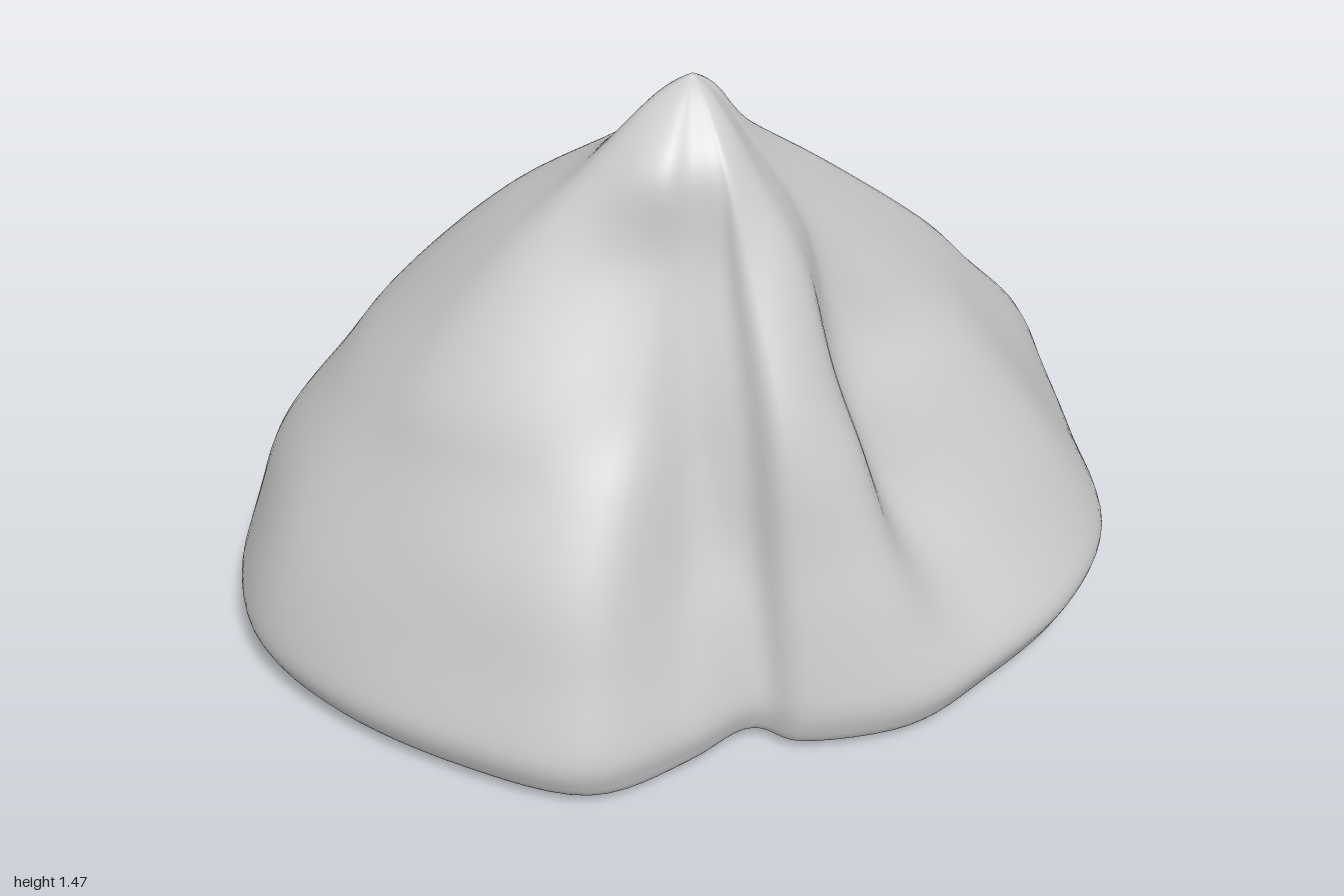
import * as THREE from 'three';
import { mergeVertices } from 'three/addons/utils/BufferGeometryUtils.js';

const PEAK = { x: 0.05, y: 1.475, z: 0.185 };

// Widest outline near the ground: x, z from the front notch round by +x
const OUTLINE = [
  [0.24, 0.635], [0.36, 0.655], [0.6, 0.58], [0.76, 0.41], [0.92, 0.18], [1.0, -0.1],
  [0.94, -0.4], [0.87, -0.62], [0.7, -0.8], [0.4, -0.9], [0.16, -0.82], [-0.04, -0.67],
  [-0.21, -0.53], [-0.5, -0.37], [-0.72, -0.29], [-0.92, -0.1], [-1.0, 0.15],
  [-0.93, 0.46], [-0.72, 0.67], [-0.42, 0.82], [-0.12, 0.89], [0.1, 0.75],
];

// How far each outline point still lies from the peak axis, at rising heights
const AT_050 = [.82, .87, .81, .64, .70, .80, .82, .86, .84, .82, .80, .80, .82, .86, .87, .88, .885, .88, .86, .85, .81, .72];
const AT_068 = [.75, .81, .71, .53, .55, .66, .70, .73, .66, .59, .60, .62, .68, .76, .77, .78, .775, .77, .77, .73, .67, .61];
const AT_085 = [.65, .71, .59, .44, .39, .49, .57, .60, .54, .48, .46, .47, .52, .65, .66, .67, .66, .65, .68, .62, .51, .52];
const AT_112 = [.44, .47, .43, .35, .28, .28, .32, .33, .29, .25, .24, .27, .32, .38, .40, .41, .41, .42, .45, .38, .32, .36];
const AT_132 = [.35, .32, .24, .18, .14, .13, .13, .12, .12, .12, .12, .13, .15, .15, .14, .14, .15, .19, .25, .27, .27, .29];

const all = (f) => OUTLINE.map(() => f);
const scale = (row, k) => row.map((f) => f * k);

// Key contours of the outside, from the tip down to the rim
const OUTSIDE = [
  [PEAK.y, all(0)],
  [1.43, scale(AT_132, 0.42)],
  [1.32, AT_132],
  [1.12, AT_112],
  [0.85, AT_085],
  [0.68, AT_068],
  [0.5, AT_050],
  [0.32, AT_050.map((f) => 0.51 + f / 2)],
  [0.15, all(1)],
  [0.06, all(0.98)],
  [0.02, all(0.935)],
];
// The hollow inside follows the same contours, slightly smaller
const INSIDE = OUTSIDE.slice(0, 9).reverse().map(([y, row]) => [y * 0.97, scale(row, 0.925)]);
const KEYS = [...OUTSIDE, [0.035, all(0.9)], ...INSIDE];

function catmull(a, b, c, d, t) {
  return 0.5 * (2 * b + (c - a) * t + (2 * a - 5 * b + 4 * c - d) * t * t
    + (3 * b - a - 3 * c + d) * t * t * t);
}

// Smooth sampling of a closed list and of an open list
function sampleLoop(get, n, u) {
  const i = Math.floor(u);
  const at = (k) => get((i + k + n) % n);
  return catmull(at(-1), at(0), at(1), at(2), u - i);
}
function sampleOpen(get, n, v) {
  const i = Math.min(Math.floor(v), n - 2);
  const at = (k) => get(Math.max(0, Math.min(n - 1, i + k)));
  return catmull(at(-1), at(0), at(1), at(2), v - i);
}

function rockGeometry() {
  const n = OUTLINE.length;
  const columns = n * 6;
  const perKey = 6;
  const rows = (KEYS.length - 1) * perKey;
  const positions = [];
  const indices = [];

  for (let r = 0; r <= rows; r++) {
    const v = r / perKey;
    const y = sampleOpen((k) => KEYS[k][0], KEYS.length, v);
    for (let c = 0; c < columns; c++) {
      const u = (c / columns) * n;
      const f = Math.max(0, sampleOpen((k) => sampleLoop((j) => KEYS[k][1][j], n, u), KEYS.length, v));
      const dx = sampleLoop((j) => OUTLINE[j][0], n, u) - PEAK.x;
      const dz = sampleLoop((j) => OUTLINE[j][1], n, u) - PEAK.z;
      // Gentle lumps on the middle of the slopes
      const mask = Math.max(0, Math.min(1, (y - 0.15) * 4)) * f;
      const lump = 1 + 0.008 * mask * (Math.sin(7 * dx + 5 * y + 1) + Math.sin(9 * dz - 8 * y));
      const x = PEAK.x + dx * f * lump;
      const z = PEAK.z + dz * f * lump;
      // The rim lifts at both sides, slightly at the front, and in the notch
      const low = Math.max(0, 1 - y / 0.2);
      const notch = Math.exp(-((x - 0.18) ** 2 + (z - 0.62) ** 2) / 0.012);
      positions.push(x, y + low * (0.03 * x * x + 0.012 * z + 0.025 * notch), z);
    }
  }

  for (let r = 0; r < rows; r++) {
    for (let c = 0; c < columns; c++) {
      const next = (c + 1) % columns;
      const a = r * columns + c, b = r * columns + next;
      const d = a + columns, e = b + columns;
      indices.push(d, e, a, e, b, a);
    }
  }

  const geometry = new THREE.BufferGeometry();
  geometry.setAttribute('position', new THREE.Float32BufferAttribute(positions, 3));
  geometry.setIndex(indices);
  const merged = mergeVertices(geometry, 1e-5);
  merged.computeVertexNormals();
  return merged;
}

export function createModel() {
  const group = new THREE.Group();
  group.name = 'hollowRock';
  const material = new THREE.MeshStandardMaterial({ color: 0xcccccc, side: THREE.DoubleSide });
  const shell = new THREE.Mesh(rockGeometry(), material);
  shell.name = 'rockShell';
  group.add(shell);

  // Rest the lowest point of the rim on the ground
  shell.geometry.computeBoundingBox();
  shell.position.y = -shell.geometry.boundingBox.min.y;
  return group;
}
